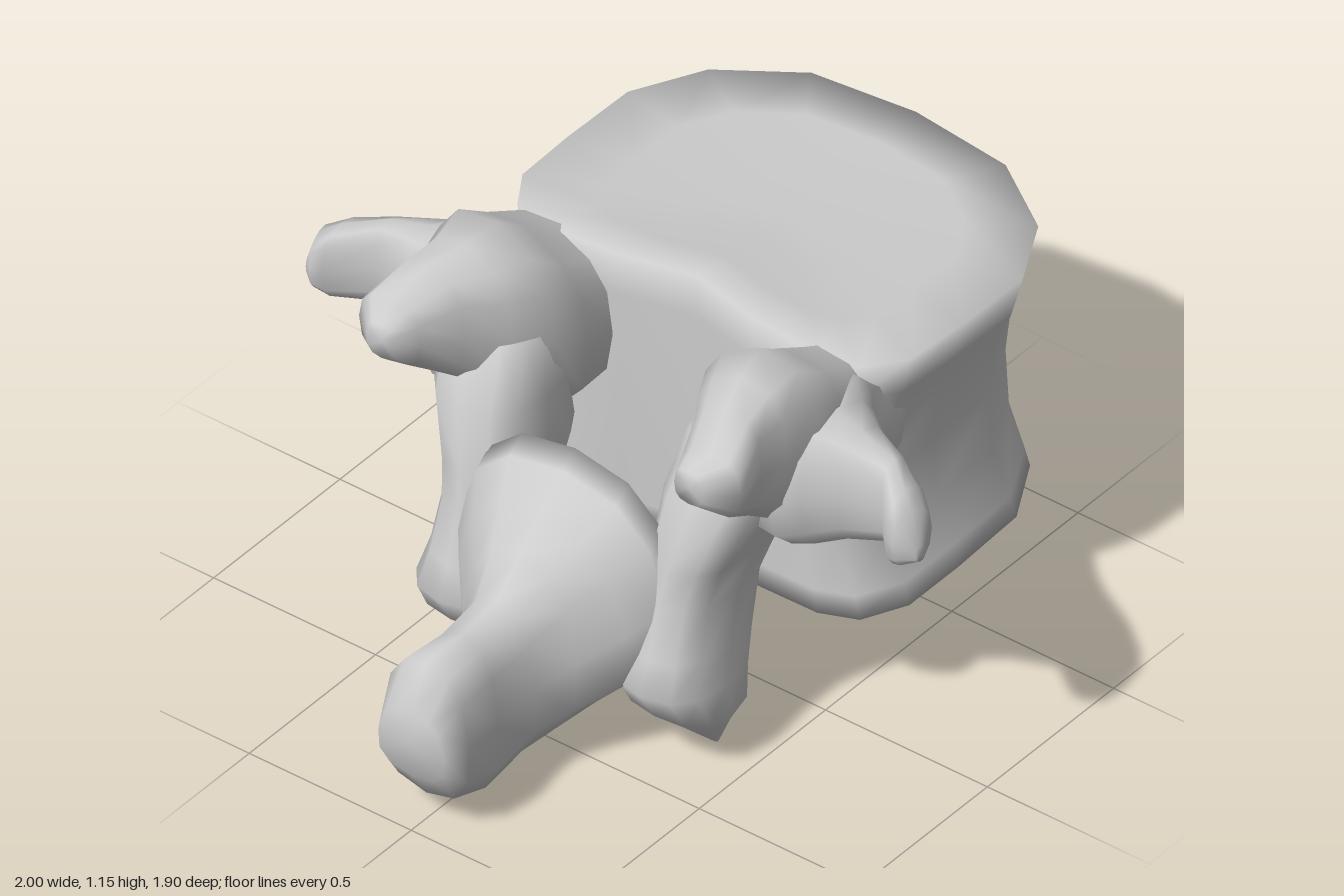
import * as THREE from 'three';

const material = new THREE.MeshStandardMaterial({ color: 0xcccccc });

// Skins a row of equal-length rings, closes both ends and turns the faces outward.
function loft(name, rings) {
  const n = rings[0].length, pts = rings.flat(), idx = [];
  for (let r = 0; r < rings.length - 1; r++) {
    for (let i = 0; i < n; i++) {
      const a = r * n + i, b = r * n + (i + 1) % n;
      idx.push(a, b, b + n, a, b + n, a + n);
    }
  }
  const cap = (start, flip) => {
    const ring = pts.slice(start, start + n);
    const mid = [0, 1, 2].map(k => ring.reduce((s, p) => s + p[k], 0) / n);
    const c = pts.push(mid) - 1;
    for (let i = 0; i < n; i++) {
      const a = start + i, b = start + (i + 1) % n;
      idx.push(c, ...(flip ? [b, a] : [a, b]));
    }
  };
  cap(0, true);
  cap((rings.length - 1) * n, false);

  // signed volume tells whether the winding has to be reversed
  let volume = 0;
  const v = pts.map(p => new THREE.Vector3(...p));
  for (let i = 0; i < idx.length; i += 3) {
    volume += v[idx[i]].dot(v[idx[i + 1]].clone().cross(v[idx[i + 2]]));
  }
  if (volume < 0) idx.reverse();

  const geo = new THREE.BufferGeometry().setFromPoints(v);
  geo.setIndex(idx);
  geo.computeVertexNormals();
  const mesh = new THREE.Mesh(geo, material);
  mesh.name = name;
  return mesh;
}

// Rounded-box section inside the given ranges; returns [a, b] pairs.
function section(a0, a1, b0, b1, power, n = 12) {
  const soft = t => Math.sign(t) * Math.abs(t) ** power;
  return Array.from({ length: n }, (_, i) => {
    const t = (i / n) * Math.PI * 2;
    return [(a0 + a1) / 2 + soft(Math.cos(t)) * (a1 - a0) / 2,
      (b0 + b1) / 2 + soft(Math.sin(t)) * (b1 - b0) / 2];
  });
}

const mirrorZ = rings => rings.map(r => r.map(([x, y, z]) => [x, y, -z]));

// Vertebral body: a kidney outline with a waist and softly curved end plates
function body() {
  const half = [[0.13, 0], [0.08, 0.22], [0.07, 0.42], [0.1, 0.53], [0.21, 0.6], [0.4, 0.61],
    [0.64, 0.61], [0.83, 0.51], [0.97, 0.3], [1, 0]];
  const outline = [...half, ...half.slice(1, -1).reverse().map(([x, z]) => [x, -z])];
  // rear y, front y, front x, width scale, inset towards the middle
  const levels = [
    [0.25, 0.29, 0.96, 1, 0.35], [0.23, 0.275, 0.96, 1, 0.7], [0.2, 0.26, 0.96, 1, 1],
    [0.27, 0.31, 0.957, 0.97, 1], [0.42, 0.44, 0.945, 0.89, 1], [0.6, 0.6, 0.945, 0.87, 1],
    [0.78, 0.77, 0.955, 0.9, 1], [0.9, 0.87, 0.975, 0.96, 1],
    [1.02, 0.995, 1, 1, 1], [1.005, 0.99, 1, 1, 0.7], [0.99, 0.985, 1, 1, 0.35]];
  return loft('vertebralBody', levels.map(([yr, yf, xf, w, inset]) => outline.map(([x, z]) => {
    const t = (x - 0.07) / 0.93;
    const px = 0.07 + t * (xf - 0.07);
    const pz = z * w * inset;
    const y = yr + (yf - yr) * t;
    // rims curl towards mid height at the sides
    return [0.52 + (px - 0.52) * inset, y + 0.07 * (pz / 0.61) ** 2 * (0.75 - y), pz];
  })));
}

// Rear spine: x, y range, half width; flares into the arch
function rearSpine() {
  const stations = [
    [-1, 0.17, 0.36, 0.11], [-0.94, 0.08, 0.48, 0.145], [-0.8, 0.02, 0.48, 0.125],
    [-0.66, 0.05, 0.5, 0.13], [-0.57, 0.08, 0.585, 0.19], [-0.48, 0.13, 0.665, 0.28],
    [-0.4, 0.18, 0.74, 0.35], [-0.35, 0.22, 0.78, 0.35], [-0.27, 0.24, 0.62, 0.28],
    [-0.16, 0.3, 0.42, 0.19]];
  return loft('rearSpine', stations.map(([x, y0, y1, w]) =>
    section(y0, y1, -w, w, 0.8).map(([y, z]) => {
      // sides narrow towards the upper ridge
      const up = (y - y0) / (y1 - y0);
      return [x, y, z * (1.05 - 0.25 * up)];
    })));
}

// Pedicle running back into the upper joint horn: x, y range, z range
const pedicle = [
  [0.42, 0.68, 0.92, 0.25, 0.5], [0.22, 0.6, 0.98, 0.22, 0.56], [0.1, 0.58, 1.025, 0.22, 0.57],
  [-0.03, 0.57, 1.09, 0.21, 0.6], [-0.14, 0.64, 1.165, 0.22, 0.6], [-0.24, 0.72, 1.14, 0.28, 0.57],
  [-0.34, 0.8, 1.12, 0.35, 0.57], [-0.45, 0.88, 1.06, 0.4, 0.59], [-0.51, 0.93, 1.03, 0.43, 0.52],
].map(([x, y0, y1, z0, z1]) => section(y0, y1, z0, z1, 0.72).map(([y, z]) => {
  // the crest slopes down towards the canal
  const up = (y - y0) / (y1 - y0);
  return [x, y - 0.35 * up * Math.max(0, 0.44 - z), z];
}));

// Side wing: z, x range, y range, skew of the hooked tip
const wing = [
  [0.4, -0.26, 0.2, 0.63, 1.01, 0], [0.53, -0.26, 0.17, 0.61, 1.01, 0],
  [0.59, -0.22, 0.09, 0.63, 1, 0], [0.67, -0.17, 0.025, 0.67, 0.98, 0],
  [0.78, -0.14, -0.03, 0.71, 0.955, 0], [0.87, -0.24, -0.08, 0.74, 0.945, 0],
  [0.915, -0.25, -0.13, 0.765, 0.92, 0.25], [0.945, -0.21, -0.18, 0.785, 0.83, 0.2],
].map(([z, x0, x1, y0, y1, skew]) => section(x0, x1, y0, y1, 0.75)
  .map(([x, y]) => [x, y, z + (x - (x0 + x1) / 2) * skew]));

// Lamina dropping into the pointed lower joint horn: y, x range, z range
const lamina = [
  [0.9, -0.28, -0.03, 0.24, 0.5], [0.74, -0.36, -0.02, 0.21, 0.5], [0.58, -0.4, -0.01, 0.2, 0.44],
  [0.48, -0.42, -0.07, 0.2, 0.42], [0.34, -0.46, -0.11, 0.19, 0.43], [0.25, -0.495, -0.15, 0.17, 0.45],
  [0.16, -0.44, -0.185, 0.17, 0.46], [0.08, -0.35, -0.22, 0.25, 0.41], [0, -0.265, -0.25, 0.35, 0.37],
].map(([y, x0, x1, z0, z1]) => section(x0, x1, z0, z1, 0.8).map(([x, z]) => [x, y, z]));

export function createModel() {
  const model = new THREE.Group();
  model.name = 'vertebra';
  model.add(body(), rearSpine());

  // Paired parts
  for (const [side, place] of [['front', r => r], ['rear', mirrorZ]]) {
    model.add(
      loft(`${side}PedicleAndUpperHorn`, place(pedicle)),
      loft(`${side}Wing`, place(wing)),
      loft(`${side}LaminaAndLowerHorn`, place(lamina)));
  }
  return model;
}
